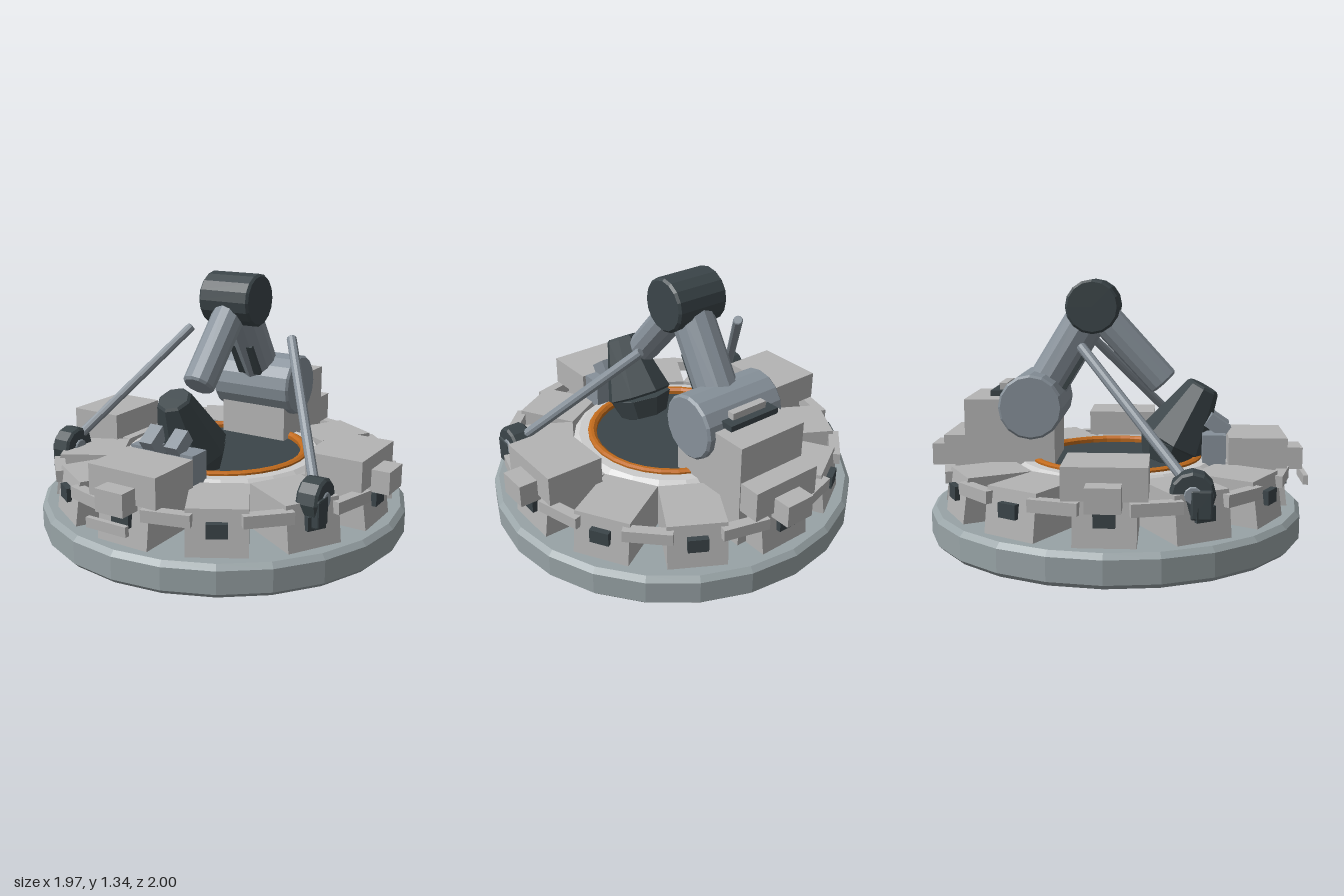
import * as THREE from 'three';
import { RoundedBoxGeometry } from 'three/addons/geometries/RoundedBoxGeometry.js';

const mat = (color) => new THREE.MeshStandardMaterial({ color, flatShading: true });
const V = (x, y, z) => new THREE.Vector3(x, y, z);

export function createModel() {
  const model = new THREE.Group();
  const light = mat(0xb4b4b4), pale = mat(0xcccccc), baseGrey = mat(0x98a3a6);
  const steel = mat(0x87919a), dark = mat(0x3b4549), orange = mat(0xc06a1c);

  const add = (parent, name, geo, material, x = 0, y = 0, z = 0) => {
    const mesh = new THREE.Mesh(geo, material);
    mesh.name = name;
    mesh.position.set(x, y, z);
    parent.add(mesh);
    return mesh;
  };
  // box given by its min and max corners
  const box = (parent, name, material, x0, x1, y0, y1, z0, z1) =>
    add(parent, name, new THREE.BoxGeometry(x1 - x0, y1 - y0, z1 - z0), material,
      (x0 + x1) / 2, (y0 + y1) / 2, (z0 + z1) / 2);
  // turned shape from [radius, height] pairs
  const lathe = (parent, name, material, points, sides) =>
    add(parent, name, new THREE.LatheGeometry(points.map(p => new THREE.Vector2(...p)), sides), material);
  // cylinder with slightly bevelled ends, from a to b
  const rod = (name, material, a, b, ra, rb, sides, bevel = 0.012) => {
    const len = a.distanceTo(b);
    const mesh = lathe(model, name, material, [[0, 0], [ra - bevel, 0], [ra, bevel],
      [rb, len - bevel], [rb - bevel, len], [0, len]], sides);
    mesh.position.copy(a);
    mesh.quaternion.setFromUnitVectors(V(0, 1, 0), b.clone().sub(a).normalize());
    return mesh;
  };

  // round platform with its central drum
  const platform = new THREE.Group();
  platform.name = 'platform';
  platform.position.z = -0.012;
  model.add(platform);
  lathe(platform, 'base', baseGrey, [[0, 0], [0.96, 0], [0.985, 0.025], [0.985, 0.14], [0.96, 0.165], [0, 0.165]], 24);
  lathe(platform, 'drum', dark, [[0.5, 0.16], [0.5, 0.34]], 24);
  lathe(platform, 'drumDisc', dark, [[0.43, 0.38], [0, 0.38]], 32);
  lathe(platform, 'collar', pale, [[0.48, 0.3], [0.54, 0.32], [0.54, 0.37], [0.51, 0.395], [0.45, 0.395]], 24);
  lathe(platform, 'trimRing', orange, [[0.46, 0.37], [0.46, 0.405], [0.445, 0.412], [0.43, 0.412], [0.415, 0.4], [0.415, 0.37]], 32);

  // ring of twelve housings, each with a window, joined by short bars
  const housing = new THREE.BoxGeometry(0.29, 0.225, 0.36);
  const p = housing.attributes.position;
  for (let i = 0; i < p.count; i++) {
    if (p.getZ(i) > 0 && p.getY(i) > 0) p.setZ(i, p.getZ(i) - 0.03);
  }
  housing.computeVertexNormals();
  for (let i = 0; i < 12; i++) {
    const sector = new THREE.Group();
    sector.name = 'sector';
    sector.rotation.y = i * Math.PI / 6;
    platform.add(sector);
    add(sector, 'housing', housing, light, 0, 0.2775, 0.72);
    box(sector, 'window', dark, -0.05, 0.05, 0.26, 0.33, 0.84, 0.91);
    const link = new THREE.Group();
    link.rotation.y = Math.PI / 12;
    sector.add(link);
    box(link, 'linkBar', light, -0.12, 0.12, 0.31, 0.37, 0.855, 0.91);
    if (i % 3 === 0) {
      box(sector, 'upperHousing', light, -0.195, 0.195, 0.375, 0.53, 0.59, 0.89);
      box(sector, 'latch', light, -0.08, 0.08, 0.345, 0.46, 0.87, 0.985);
    }
  }
  box(model, 'frontPlate', light, -0.115, 0.115, 0.27, 0.32, 0.975, 1.0);

  // rear pedestal and jointed arm
  box(model, 'pedestal', light, -0.2, 0.2, 0.17, 0.72, -0.79, -0.32);
  box(model, 'rearBracket', dark, -0.15, 0.15, 0.73, 0.76, -0.66, -0.54);
  box(model, 'rearPlate', light, -0.105, 0.105, 0.74, 0.795, -0.62, -0.58);
  rod('shoulder', steel, V(-0.24, 0.685, -0.44), V(0.24, 0.685, -0.44), 0.168, 0.168, 16);
  rod('upperArm', steel, V(0, 0.685, -0.44), V(0, 1.19, -0.13), 0.11, 0.11, 12);
  rod('elbow', dark, V(-0.15, 1.195, -0.128), V(0.15, 1.195, -0.128), 0.14, 0.14, 16);
  rod('forearm', steel, V(0, 1.195, -0.128), V(0, 0.79, 0.243), 0.088, 0.085, 12);
  const brace = box(model, 'armBrace', dark, -0.07, 0.07, 0.76, 0.96, -0.3, -0.22);
  brace.rotation.x = 0.54;

  // tapered head leaning forward on the drum
  rod('head', dark, V(0, 0.468, 0.29), V(0, 0.775, 0.455), 0.185, 0.09, 8);
  rod('headRoot', dark, V(0, 0.37, 0.26), V(0, 0.475, 0.294), 0.14, 0.18, 8, 0.001);

  for (const s of [-1, 1]) {
    // supports in front of the head
    add(model, 'headSupport', new THREE.BoxGeometry(0.14, 0.16, 0.12), steel, s * 0.115, 0.46, 0.505);
    const block = add(model, 'supportBlock', new THREE.BoxGeometry(0.075, 0.075, 0.12), steel, s * 0.075, 0.575, 0.525);
    block.rotation.x = 0.6;

    // side lever with its pivot
    rod('pivot', dark, V(s * 0.69, 0.385, 0.38), V(s * 0.8, 0.385, 0.38), 0.105, 0.105, 12);
    rod('pivotHub', steel, V(s * 0.68, 0.385, 0.38), V(s * 0.806, 0.385, 0.38), 0.042, 0.042, 10, 0.005);
    add(model, 'pivotFoot', new RoundedBoxGeometry(0.08, 0.14, 0.1, 1, 0.01), dark, s * 0.77, 0.34, 0.42);
    rod('lever', steel, V(s * 0.74, 0.41, 0.37), V(s * 0.315, 1.01, -0.17), 0.026, 0.026, 10, 0.005);
  }
  return model;
}
